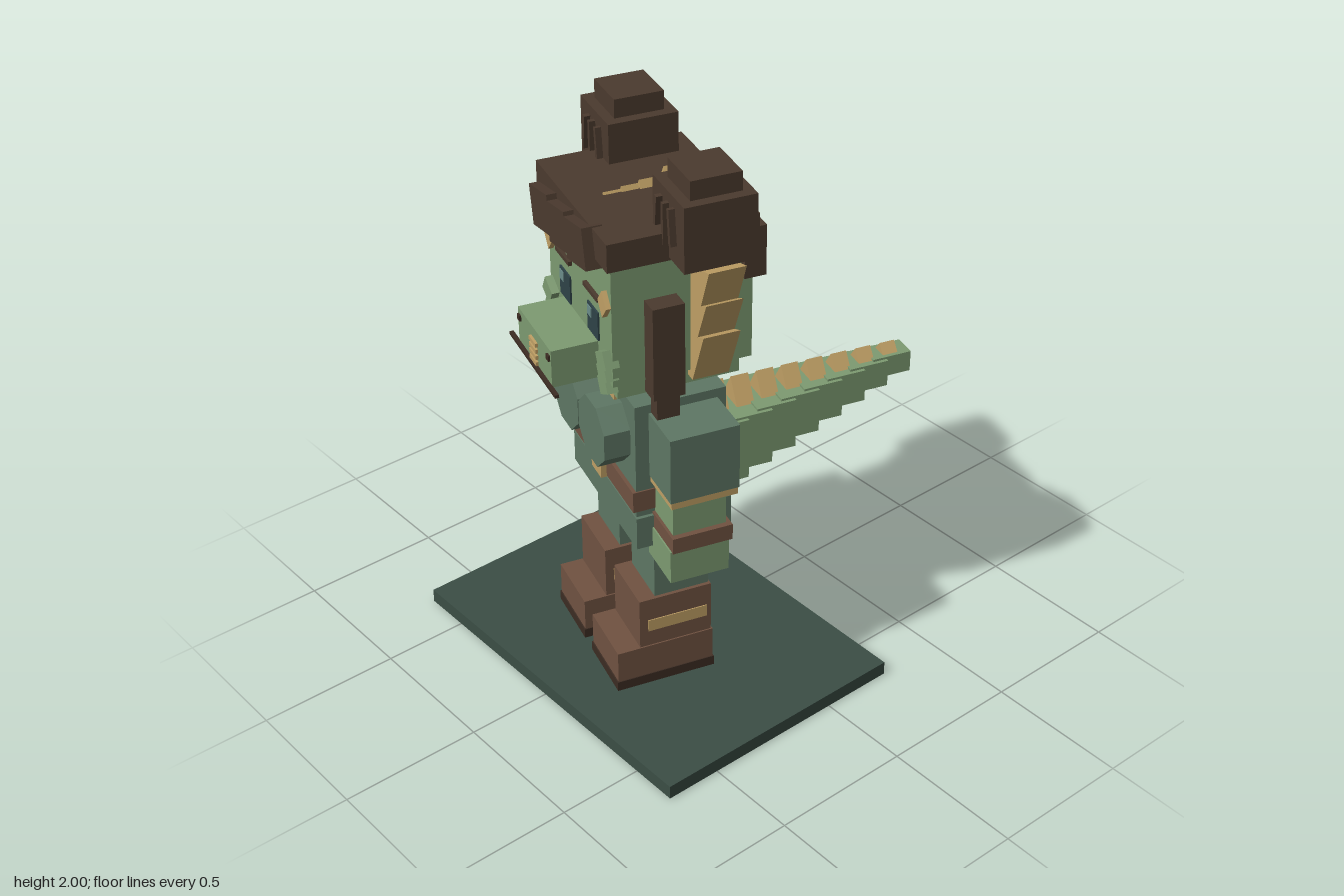
import * as THREE from 'three';

const mat = (name, color) => {
  const m = new THREE.MeshStandardMaterial({ color });
  m.name = name;
  return m;
};

export function createModel() {
  const M = {
    base: mat('base green', 0x3b4e45), skin: mat('skin green', 0x7d9b71),
    cloth: mat('cloth green', 0x5e7764), leather: mat('leather brown', 0x705241),
    hair: mat('hair brown', 0x4b3a2e), sole: mat('dark brown', 0x3c2c23),
    gold: mat('gold', 0xc0a065), eye: mat('eye teal', 0x2e4348), glint: mat('eye glint', 0x6b8c8a),
  };
  const model = new THREE.Group();
  model.name = 'model';
  const body = new THREE.Group();
  body.name = 'character';
  body.position.z = 0.22;
  body.rotation.y = -0.288;
  model.add(body);

  const add = (name, geo, m, x = 0, y = 0, z = 0, rz = 0, parent = body) => {
    const mesh = new THREE.Mesh(geo, m);
    mesh.name = name;
    mesh.position.set(x, y, z);
    mesh.rotation.z = rz;
    parent.add(mesh);
    return mesh;
  };
  // box centred on x, given by width, bottom/top heights and back/front depths
  const slab = (name, m, x, w, y0, y1, z0, z1, rz = 0, parent = body) =>
    add(name, new THREE.BoxGeometry(w, y1 - y0, z1 - z0), m, x, (y0 + y1) / 2, (z0 + z1) / 2, rz, parent);
  const prism = (points, depth) => {
    const shape = new THREE.Shape(points.map(p => new THREE.Vector2(p[0], p[1])));
    return new THREE.ExtrudeGeometry(shape, { depth, bevelEnabled: false }).translate(0, 0, -depth / 2);
  };
  // triangular ridge spike standing on y = 0
  const spike = (w, h, d) => prism([[-w / 2, 0], [w / 2, 0], [0, h]], d);

  slab('basePlate', M.base, 0, 1.34, 0, 0.05, -0.26, 0.70, 0, model);

  // trunk
  slab('torso', M.cloth, 0, 0.54, 0.74, 1.175, -0.15, 0.165);
  slab('hips', M.cloth, 0, 0.565, 0.632, 0.752, -0.165, 0.17);
  slab('belt', M.leather, 0, 0.55, 0.775, 0.852, -0.16, 0.178);
  slab('buckle', M.gold, 0, 0.085, 0.77, 0.857, 0.17, 0.198);
  slab('collar', M.gold, 0, 0.30, 1.14, 1.21, -0.185, 0.187);

  // head
  slab('head', M.skin, 0, 0.54, 1.27, 1.72, -0.238, 0.235);
  slab('jaw', M.skin, 0, 0.48, 1.203, 1.275, -0.208, 0.21);
  slab('muzzle', M.skin, 0, 0.30, 1.24, 1.373, 0.2, 0.393);
  slab('mouthLine', M.sole, 0, 0.42, 1.238, 1.249, 0.392, 0.406);
  for (let i = 0; i < 4; i++) {
    const y = 1.252 + i * 0.023;
    slab('tooth', M.gold, 0, 0.06, y, y + 0.014, 0.39, 0.402);
  }

  // hair cap, back panel and fringe
  slab('hairCap', M.hair, 0, 0.605, 1.70, 1.797, -0.245, 0.258);
  slab('hairBack', M.hair, 0, 0.585, 1.57, 1.746, -0.274, -0.2);
  [[-0.186, 1.683], [-0.037, 1.697], [0.118, 1.717]].forEach(([x, y]) =>
    slab('fringe', M.hair, x, 0.165, y - 0.068, y + 0.068, 0.225, 0.292, 0.22));
  [[-0.168, 0.083, 0.08], [-0.083, 0.06, 0.07], [0, 0.03, 0.03], [0.06, 0.02, 0.02], [0.12, 0.012, 0.014]]
    .forEach(([z, h, w]) => add('crestSpike', spike(w, h, 0.058), M.gold, 0, 1.793, z));

  // mirrored parts
  for (const s of [-1, 1]) {
    // hair buns and side locks
    slab('bun', M.hair, s * 0.30, 0.24, 1.712, 1.935, -0.183, 0.057);
    slab('bunTop', M.hair, s * 0.30, 0.17, 1.93, 2.0, -0.148, 0.022);
    [-0.06, 0, 0.05].forEach((dx, i) =>
      slab('bunStrand', M.hair, s * (0.30 + dx), 0.016, 1.74 + i * 0.02, 1.90, 0.05, 0.078, s * (i - 1) * 0.12));
    slab('sideLock', M.hair, s * 0.303, 0.07, 1.23, 1.56, 0.02, 0.127);
    slab('sideLockTip', M.hair, s * 0.303, 0.05, 1.15, 1.235, 0.035, 0.112);

    // face details
    slab('eye', M.eye, s * 0.121, 0.09, 1.383, 1.483, 0.23, 0.241);
    slab('eyeGlint', M.glint, s * 0.121 - 0.022, 0.032, 1.44, 1.474, 0.238, 0.244);
    slab('brow', M.hair, s * 0.123, 0.12, 1.532, 1.547, 0.23, 0.248);
    slab('nostril', M.sole, s * 0.132, 0.022, 1.333, 1.353, 0.388, 0.4);
    add('cheekGem', prism([[0, -0.047], [0.036, 0], [0, 0.047], [-0.036, 0]], 0.02), M.gold, s * 0.234, 1.555, 0.242);
    for (let i = 0; i < 3; i++)
      slab('cheekFrill', M.skin, s * (0.236 - i * 0.008), 0.07, 1.325 - i * 0.05, 1.385 - i * 0.05, 0.215, 0.262 - i * 0.005, s * 0.5);

    // scalloped ear fin
    const fin = [[0.25, 1.64], [0.41, 1.69], [0.35, 1.545], [0.39, 1.565], [0.325, 1.42], [0.37, 1.44], [0.285, 1.24], [0.25, 1.24]];
    add('earFin', prism(fin.map(([x, y]) => [s * x, y]), 0.125), M.gold, 0, 0, -0.09);

    // chest plate
    const disc = new THREE.CylinderGeometry(0.122, 0.122, 0.1, 8).rotateY(Math.PI / 8).rotateX(Math.PI / 2);
    const plate = add('chestPlate', disc.toNonIndexed(), M.cloth, s * 0.116, 1.02, 0.205);
    plate.geometry.computeVertexNormals();

    // arm
    slab('sleeve', M.cloth, s * 0.35, 0.19, 0.905, 1.143, -0.12, 0.118);
    slab('sleeveTrim', M.gold, s * 0.35, 0.186, 0.88, 0.91, -0.115, 0.114);
    slab('forearm', M.skin, s * 0.335, 0.17, 0.74, 0.885, -0.085, 0.1);
    slab('cuff', M.leather, s * 0.34, 0.2, 0.702, 0.76, -0.1, 0.11);
    slab('hand', M.skin, s * 0.34, 0.185, 0.582, 0.705, -0.09, 0.115);

    // leg and boot
    slab('leg', M.cloth, s * 0.155, 0.2, 0.38, 0.65, -0.095, 0.1);
    slab('bootShaft', M.leather, s * 0.155, 0.225, 0.19, 0.397, -0.1, 0.16);
    slab('bootFoot', M.leather, s * 0.155, 0.235, 0.083, 0.205, -0.105, 0.243);
    slab('bootSole', M.sole, s * 0.155, 0.242, 0.05, 0.086, -0.108, 0.247);
    slab('bootStrap', M.gold, s * 0.155, 0.232, 0.267, 0.312, -0.085, 0.13);
  }

  // tapering tail with back spikes and side scutes
  for (let i = 0; i < 8; i++) {
    const t = i / 7, z = -0.228 - i * 0.0927;
    const w = 0.26 - 0.175 * t, h = 0.23 - 0.153 * t, y = 0.805 + 0.133 * t, top = y + h / 2;
    slab('tailSegment', M.skin, 0, w, y - h / 2, top, z - 0.072, z + 0.072);
    add('tailSpike', spike(0.12 - 0.06 * t, 1.022 - 0.01 * t - top, 0.066 - 0.01 * t), M.gold, 0, top - 0.002, z);
    const sides = i === 0 ? [-1, 1] : [-1];
    for (const s of sides)
      slab('tailScute', M.gold, s * (w / 2 + 0.002), 0.024, y - h / 4, y + h / 4, z - 0.024, z + 0.024);
  }
  return model;
}
